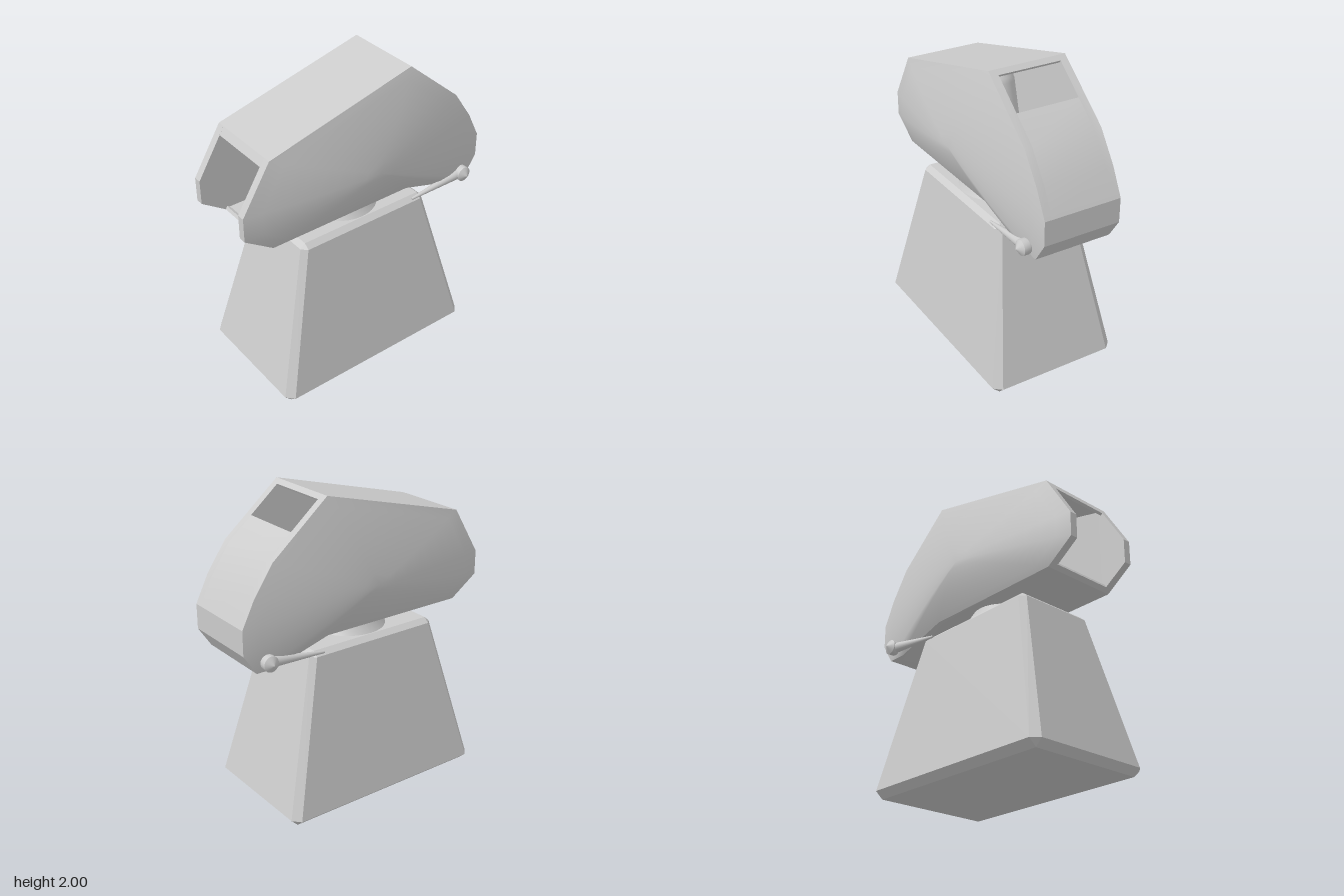
import * as THREE from 'three';
import { mergeVertices, toCreasedNormals } from 'three/addons/utils/BufferGeometryUtils.js';
import { ConvexGeometry } from 'three/addons/geometries/ConvexGeometry.js';

const CX = -0.04; // x centre of the base and post
const CHEEK_IN = 0.21, CHEEK_OUT = 0.26;

// Head outline seen from the front, clockwise
const OUTLINE = [
  [-0.9, 1.27], [-0.9, 1.43], [-0.71, 1.74], [0.3, 2], [0.68, 1.68], [0.81, 1.49],
  [0.895, 1.32], [0.895, 1.16], [0.81, 1.03], [0.68, 1.03], [0.3, 1.14], [-0.71, 1.14],
];

const material = new THREE.MeshStandardMaterial({ color: 0xcccccc, side: THREE.DoubleSide });

function add(parent, name, geometry) {
  const mesh = new THREE.Mesh(geometry, material);
  mesh.name = name;
  parent.add(mesh);
  return mesh;
}

// Extrude a polygon along z from z0 to z1, smoothing only gentle corners
function slab(points, z0, z1) {
  const shape = new THREE.Shape(points.map(([x, y]) => new THREE.Vector2(x, y)));
  const geo = new THREE.ExtrudeGeometry(shape, { depth: z1 - z0, bevelEnabled: false });
  geo.translate(0, 0, z0);
  return toCreasedNormals(geo, 0.45);
}

// Bulging side skin: the outline shrinks towards a centre while z swells
function bulge() {
  const rings = 8, n = OUTLINE.length, cx = 0, cy = 1.43;
  const pos = [], index = [];
  for (let r = 0; r <= rings; r++) {
    const t = r / rings;
    const z = CHEEK_OUT + 0.11 * (1 - Math.pow(t, 1.5));
    for (const [x, y] of OUTLINE) pos.push(cx + (x - cx) * t, cy + (y - cy) * t, z);
  }
  for (let r = 0; r < rings; r++) {
    for (let i = 0; i < n; i++) {
      const j = (i + 1) % n;
      const a = r * n + i, b = a + n, c = (r + 1) * n + j, d = r * n + j;
      index.push(a, c, b);
      if (r > 0) index.push(a, d, c);
    }
  }
  let geo = new THREE.BufferGeometry();
  geo.setAttribute('position', new THREE.Float32BufferAttribute(pos, 3));
  geo.setIndex(index);
  geo = mergeVertices(geo);
  geo.computeVertexNormals();
  return geo;
}

// Tapered base with chamfered edges
function base() {
  const pts = [];
  for (const sx of [-1, 1]) for (const sz of [-1, 1]) {
    for (const [x, y, z] of [
      [0.68, 0, 0.395], [0.68, 0.045, 0.445], [0.725, 0.045, 0.395],
      [0.44, 1.03, 0.285], [0.475, 1.03, 0.25], [0.44, 1.06, 0.25],
    ]) pts.push(new THREE.Vector3(CX + sx * x, y, sz * z));
  }
  return new ConvexGeometry(pts);
}

function lathe(profile, segments) {
  const geo = new THREE.LatheGeometry(profile.map(([r, y]) => new THREE.Vector2(r, y)), segments);
  return toCreasedNormals(geo, 0.5);
}

export function createModel() {
  const model = new THREE.Group();
  model.name = 'model';
  add(model, 'base', base());

  // Collar and the post that rises inside the hollow head
  const post = add(model, 'post', lathe(
    [[0.25, 1.05], [0.19, 1.15], [0.11, 1.78], [0.1, 1.81], [0.07, 1.855], [0, 1.87]], 32));
  post.position.x = CX;

  // Thin shell between the cheeks, open at the rear end and at the window
  const head = new THREE.Group();
  head.name = 'head';
  model.add(head);
  add(head, 'roof', slab([
    [-0.74, 1.69], [-0.71, 1.74], [0.3, 2], [0.33, 1.975],
    [0.32, 1.96], [0.3, 1.97], [-0.7, 1.715], [-0.725, 1.68],
  ], -CHEEK_IN, CHEEK_IN));
  add(head, 'frontAndFloor', slab([
    [0.52, 1.815], ...OUTLINE.slice(4), [-0.74, 1.16],
    [-0.73, 1.18], [-0.71, 1.17], [0.305, 1.17], [0.69, 1.06], [0.79, 1.06],
    [0.865, 1.17], [0.865, 1.31], [0.785, 1.475], [0.66, 1.66], [0.5, 1.79],
  ], -CHEEK_IN, CHEEK_IN));

  // Cheeks and levers, mirrored front to back
  for (const s of [1, -1]) {
    const side = new THREE.Group();
    side.name = s > 0 ? 'frontSide' : 'backSide';
    side.scale.z = s;
    model.add(side);
    add(side, 'cheek', slab(OUTLINE, CHEEK_IN, CHEEK_OUT));
    add(side, 'cheekBulge', bulge());

    // Pivot knob with a pointed cap, axis along z
    const knob = add(side, 'leverKnob', lathe(
      [[0, 0.25], [0.04, 0.26], [0.05, 0.28], [0.05, 0.32], [0, 0.352]], 20));
    knob.rotation.x = Math.PI / 2;
    knob.position.set(0.745, 1.095, 0);

    // Rod tapering down to the top edge of the base
    const from = new THREE.Vector3(0.34, 1.047, 0.275);
    const to = new THREE.Vector3(0.745, 1.095, 0.285);
    const dir = to.clone().sub(from);
    const rod = add(side, 'leverRod', new THREE.CylinderGeometry(0.036, 0.008, dir.length(), 16));
    rod.position.copy(from).add(to).multiplyScalar(0.5);
    rod.quaternion.setFromUnitVectors(new THREE.Vector3(0, 1, 0), dir.normalize());
  }
  return model;
}
